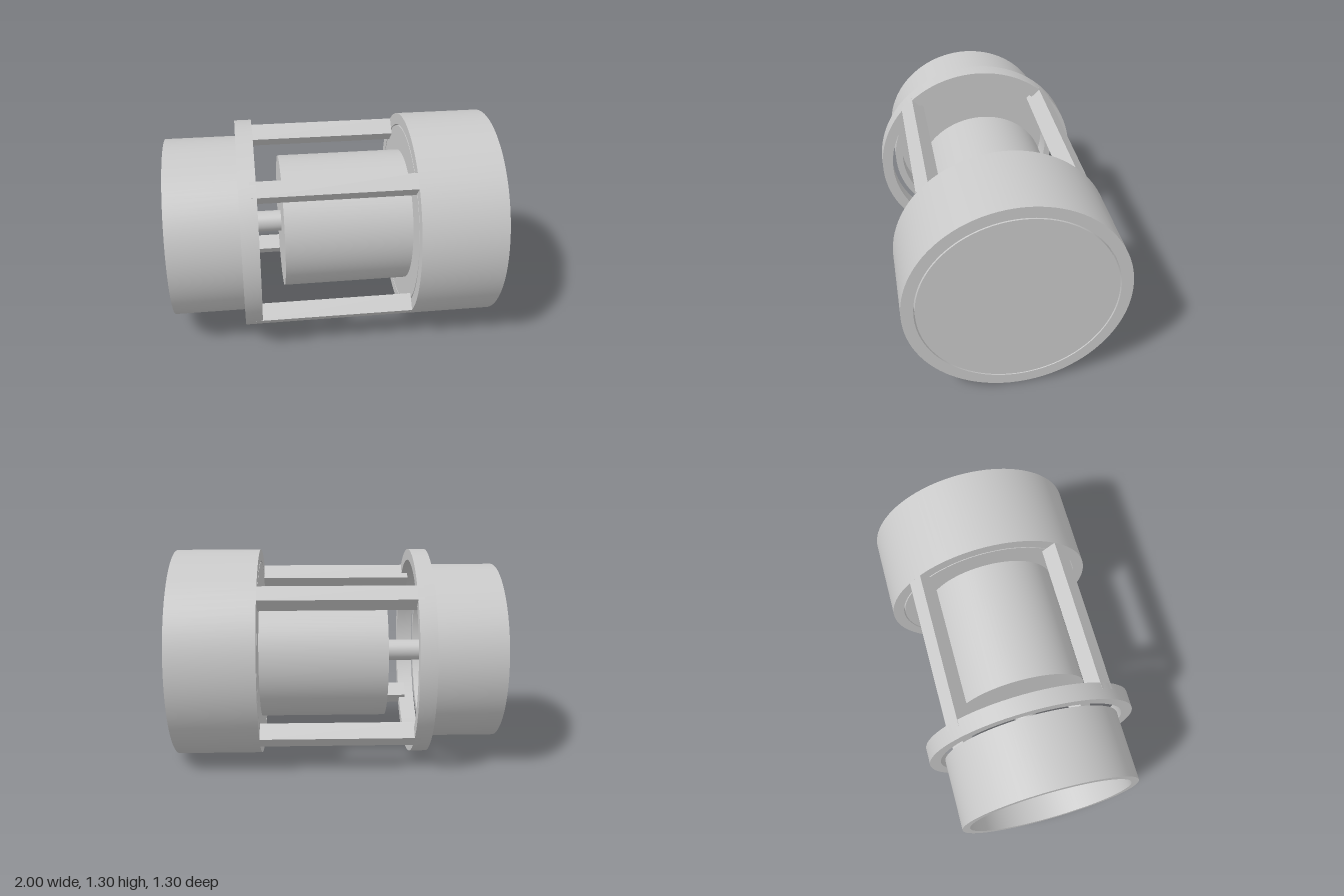
import * as THREE from 'three';
import { toCreasedNormals } from 'three/addons/utils/BufferGeometryUtils.js';

const AXIS_Y = 0.652;   // height of the shared axis, which runs along x
const SEGMENTS = 96;

export function createModel() {
  const group = new THREE.Group();
  const grey = new THREE.MeshStandardMaterial({ color: 0xc9c9c9 });
  grey.name = 'plain grey';

  const add = (name, geometry) => {
    const mesh = new THREE.Mesh(geometry, grey);
    mesh.name = name;
    mesh.position.y = AXIS_Y;
    group.add(mesh);
  };

  // Solid round part between two x positions
  const rod = (name, x0, x1, radius) => {
    const g = new THREE.CylinderGeometry(radius, radius, x1 - x0, SEGMENTS);
    g.rotateZ(-Math.PI / 2);
    g.translate((x0 + x1) / 2, 0, 0);
    add(name, g);
  };

  // Hollow round part between two x positions
  const tube = (name, x0, x1, outer, inner) => {
    const profile = [[outer, x0], [outer, x1], [inner, x1], [inner, x0], [outer, x0]]
      .map(([r, x]) => new THREE.Vector2(r, x));
    const g = new THREE.LatheGeometry(profile, SEGMENTS);
    g.rotateZ(-Math.PI / 2);
    add(name, toCreasedNormals(g, Math.PI / 6));
  };

  // Large housing with a core separated by a narrow gap
  tube('housingSleeve', 0.475, 1, 0.652, 0.582);
  rod('housingCore', 0.475, 1, 0.574);

  // Inner body and its shaft
  rod('innerBody', -0.305, 0.475, 0.418);
  rod('shaft', -0.7, -0.305, 0.066);

  // Open cup with a recessed dividing wall
  tube('cupSleeve', -1, -0.565, 0.555, 0.508);
  rod('cupDivider', -0.78, -0.7, 0.508);

  // Flange ring at the end of the cup
  tube('flangeRing', -0.565, -0.462, 0.652, 0.583);

  // Four bars joining flange and housing
  for (let i = 0; i < 4; i++) {
    const g = new THREE.BoxGeometry(0.975, 0.108, 0.1);
    g.translate(-0.0125, 0.597, 0);
    g.rotateX(Math.PI / 4 + i * Math.PI / 2);
    add('connectingBar' + (i + 1), g);
  }

  return group;
}
